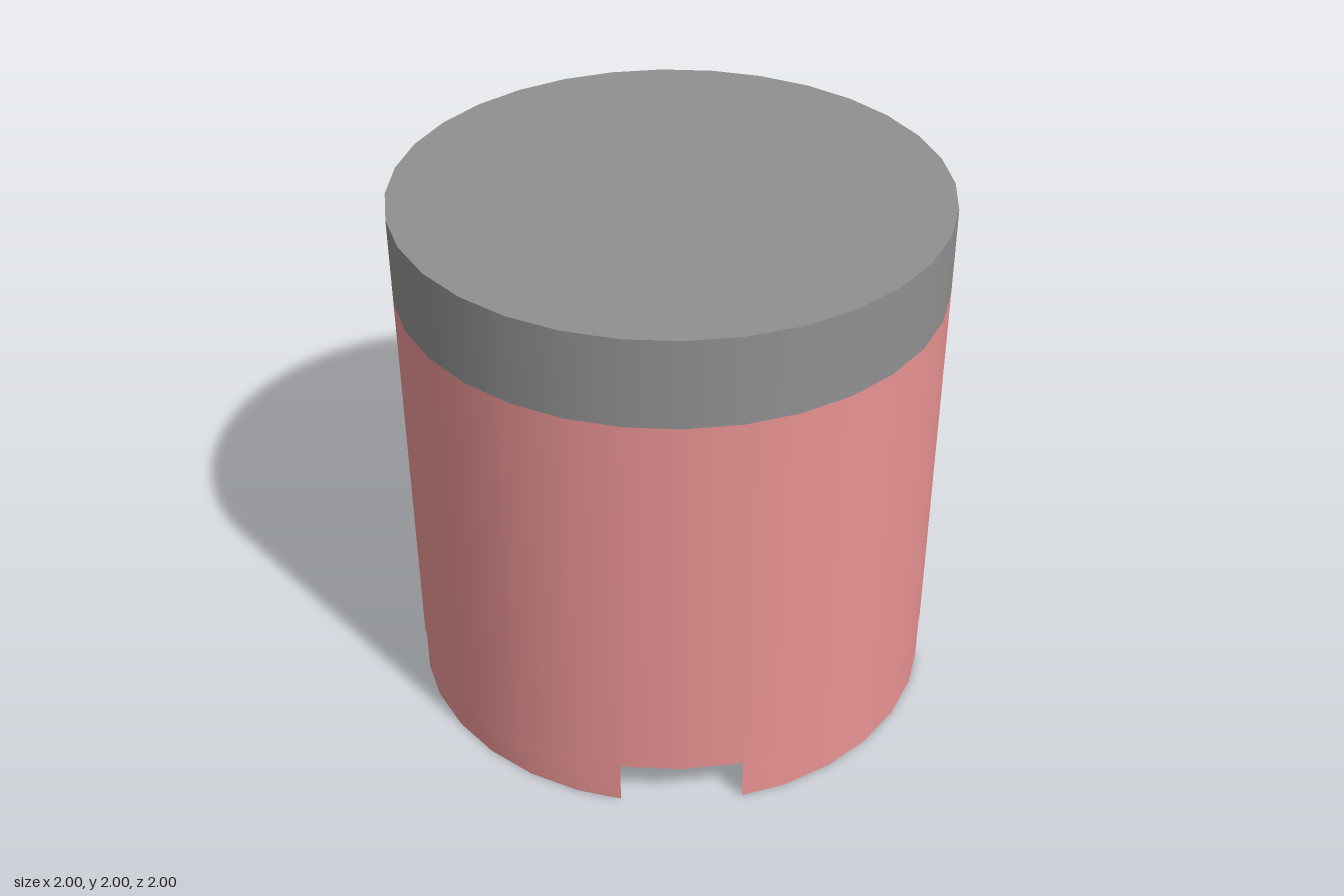
import * as THREE from 'three';
import { toCreasedNormals } from 'three/addons/utils/BufferGeometryUtils.js';

const SIDES = 32;
const FLOOR = 0.17; // height of the notches and of the recess underneath
const SEAM = 1.67; // where the body meets the lid

export function createModel() {
  const group = new THREE.Group();
  const pink = new THREE.MeshStandardMaterial({ color: 0xe89292 });
  const grey = new THREE.MeshStandardMaterial({ color: 0x909090 });

  function add(name, geometry, material, y = 0) {
    const mesh = new THREE.Mesh(geometry, material);
    mesh.name = name;
    mesh.position.y = y;
    group.add(mesh);
    return mesh;
  }

  function drum(name, radius, bottom, top, material) {
    const geometry = new THREE.CylinderGeometry(radius, radius, top - bottom, SIDES);
    return add(name, geometry, material, (bottom + top) / 2);
  }

  drum('lid', 1, SEAM, 2, grey);
  drum('body', 1, FLOOR, SEAM, pink);
  drum('centrePeg', 0.35, 0, FLOOR, pink);

  // Curved rim piece: its ends slant so that each notch widens inwards
  const polar = (radius, degrees) => {
    const a = THREE.MathUtils.degToRad(degrees);
    return new THREE.Vector2(radius * Math.cos(a), radius * Math.sin(a));
  };
  const outline = [polar(0.9976, -32.1)];
  for (let i = -2; i <= 2; i++) outline.push(polar(1, i * 11.25));
  outline.push(polar(0.9976, 32.1));
  for (const a of [21.4, 11.25, 0, -11.25, -21.4]) outline.push(polar(0.85, a));

  const extruded = new THREE.ExtrudeGeometry(new THREE.Shape(outline), {
    depth: FLOOR,
    bevelEnabled: false,
  });
  extruded.rotateX(-Math.PI / 2);
  const rimGeometry = toCreasedNormals(extruded, 0.4);

  // Four rim pieces, leaving notches on the diagonals
  ['left', 'back', 'right', 'front'].forEach((side, i) => {
    add(side + 'RimFoot', rimGeometry, pink).rotation.y = (i * Math.PI) / 2;
  });

  return group;
}
